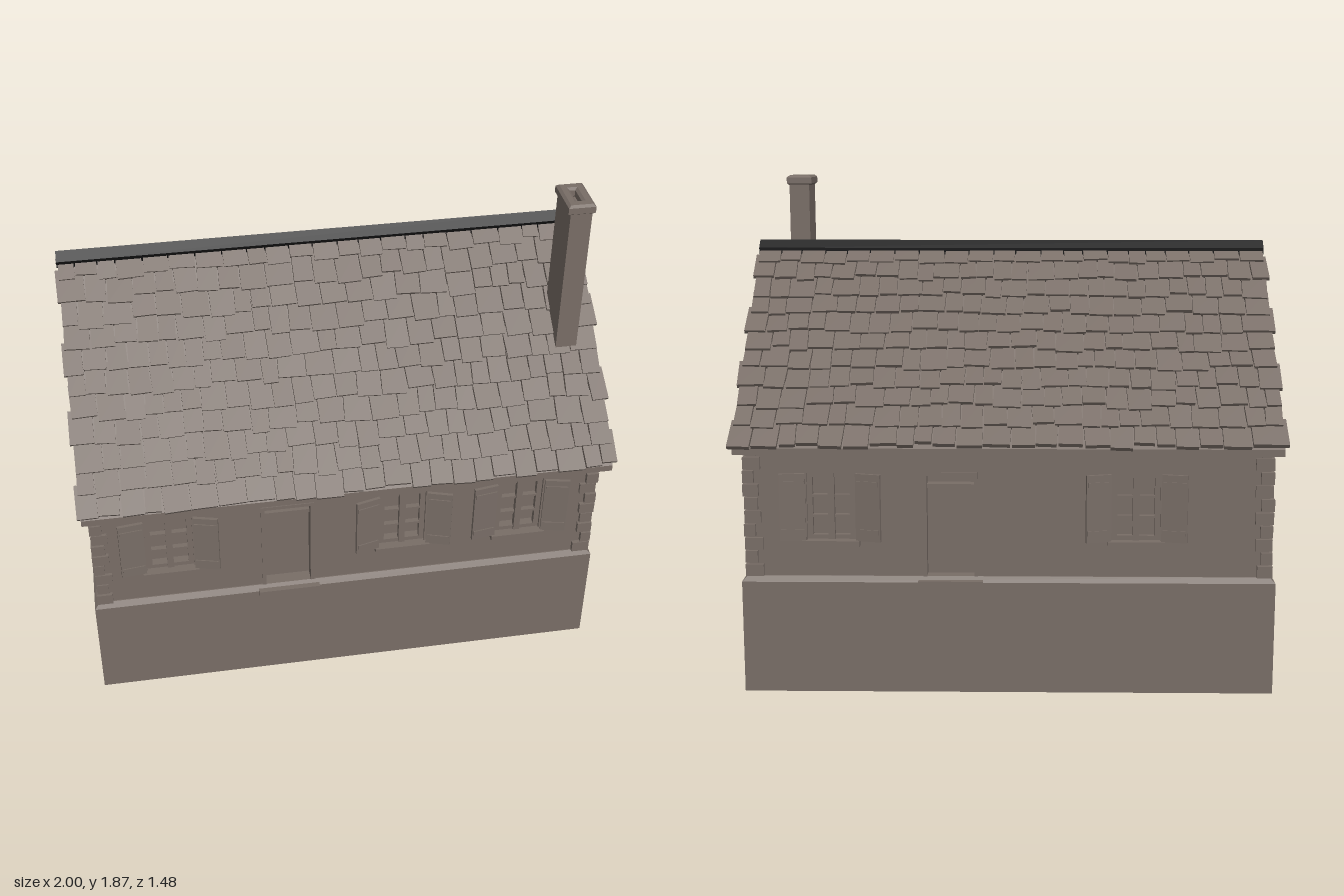
import * as THREE from 'three';
import { mergeGeometries } from 'three/addons/utils/BufferGeometryUtils.js';

const stone = new THREE.MeshStandardMaterial({ color: 0x786d66 });
stone.name = 'grey brown stone';
const black = new THREE.MeshStandardMaterial({ color: 0x0c0c0d });
black.name = 'ridge black';

const SLOPE = 0.92, ANGLE = Math.atan(SLOPE);
const WALL_X = 0.95, WALL_Z = 0.625;

let seed = 7;
const rand = (a, b) => {
  seed = (seed * 16807) % 2147483647;
  return a + (b - a) * seed / 2147483647;
};

function add(parent, name, geometry, x = 0, y = 0, z = 0, material = stone) {
  const mesh = new THREE.Mesh(geometry, material);
  mesh.name = name;
  mesh.position.set(x, y, z);
  parent.add(mesh);
  return mesh;
}

// Box given by its minimum and maximum corners
function block(x0, x1, y0, y1, z0, z1) {
  return new THREE.BoxGeometry(x1 - x0, y1 - y0, z1 - z0)
    .translate((x0 + x1) / 2, (y0 + y1) / 2, (z0 + z1) / 2);
}

function polygon(points) {
  return new THREE.Shape(points.map(([x, y]) => new THREE.Vector2(x, y)));
}

function rectangle(x0, x1, y0, y1) {
  return polygon([[x0, y0], [x1, y0], [x1, y1], [x0, y1]]);
}

function extrude(shape, depth) {
  return new THREE.ExtrudeGeometry(shape, { depth, bevelEnabled: false });
}

// Extrudes a (z, y) section along x from x0 to x1
function alongX(points, x0, x1) {
  return extrude(polygon(points), x1 - x0).rotateY(Math.PI / 2).translate(x0, 0, 0);
}

// Inverted V section for the roof boards and the ridge
function chevron(apex, reach, thick, halfLength) {
  const low = apex - SLOPE * reach;
  return alongX([[0, apex], [-reach, low], [-reach, low - thick], [0, apex - thick],
    [reach, low - thick], [reach, low]], -halfLength, halfLength);
}

// Window frame, bars, sill and a pair of open shutters
function makeWindow(x, angles) {
  const g = new THREE.Group();
  g.name = 'window';
  g.position.x = x;
  const frame = rectangle(-0.088, 0.088, 0.575, 0.825);
  for (let i = 0; i < 2; i++) for (let j = 0; j < 3; j++) {
    const px = -0.068 + i * 0.073, py = 0.592 + j * 0.075;
    frame.holes.push(rectangle(px, px + 0.063, py, py + 0.066));
  }
  add(g, 'windowFrame', extrude(frame, 0.02), 0, 0, 0.595);
  add(g, 'windowMiddleBar', block(-0.012, 0.012, 0.575, 0.825, 0.6, 0.622));
  add(g, 'windowSill', block(-0.105, 0.105, 0.555, 0.576, 0.58, 0.65));
  for (const side of [-1, 1]) {
    const hinge = new THREE.Group();
    hinge.name = side < 0 ? 'rightShutter' : 'leftShutter';
    hinge.position.set(side * 0.092, 0.7, 0.634);
    hinge.rotation.y = -side * angles[side < 0 ? 0 : 1];
    const c = side * 0.047;
    add(hinge, 'shutterBoard', block(c - 0.047, c + 0.047, -0.125, 0.125, -0.006, 0.006));
    for (const y of [-0.09, 0.09]) {
      add(hinge, 'shutterBatten', block(c - 0.042, c + 0.042, y - 0.009, y + 0.009, -0.01, 0.01));
    }
    g.add(hinge);
  }
  return g;
}

// Door with frame, transom and threshold
function makeDoor(x) {
  const g = new THREE.Group();
  g.name = 'door';
  g.position.x = x;
  const frame = rectangle(-0.1, 0.1, 0.425, 0.83);
  frame.holes.push(rectangle(-0.086, 0.086, 0.43, 0.816));
  add(g, 'doorFrame', extrude(frame, 0.05), 0, 0, 0.58);
  add(g, 'doorLeaf', block(-0.088, 0.088, 0.428, 0.77, 0.56, 0.582));
  add(g, 'doorTransom', block(-0.088, 0.088, 0.765, 0.78, 0.56, 0.605));
  add(g, 'doorThreshold', block(-0.118, 0.118, 0.4, 0.428, 0.56, 0.66));
  return g;
}

// Long wall, facing +z, with its openings
function makeFacade(name, doorX, windows) {
  const g = new THREE.Group();
  g.name = name;
  const wall = rectangle(-0.91, 0.91, 0.4, 0.995);
  wall.holes.push(rectangle(doorX - 0.1, doorX + 0.1, 0.425, 0.83));
  for (const [x, angles] of windows) {
    wall.holes.push(rectangle(x - 0.088, x + 0.088, 0.575, 0.825));
    g.add(makeWindow(x, angles));
  }
  add(g, 'longWall', extrude(wall, 0.075), 0, 0, WALL_Z - 0.075);
  g.add(makeDoor(doorX));
  return g;
}

// One slope of overlapping, slightly uneven tiles
function makeTiles() {
  const tiles = [], rows = 11, pitch = 0.0885;
  for (let r = 0; r < rows; r++) {
    const end = r % 3 === 1 ? 0.998 : 0.986;
    let x = -end;
    while (x < end - 0.01) {
      let w = rand(0.06, 0.105);
      if (end - x - w < 0.05) w = end - x;
      const wave = Math.sin(x * 14 + r) * 0.006;
      const s = (r + 1) * pitch + wave + rand(-0.011, 0.011);
      const len = Math.min(0.125, s);
      const tile = new THREE.BoxGeometry(w - 0.005, 0.016, len);
      tile.rotateY(rand(-0.05, 0.05));
      tile.rotateX(-rand(0.08, 0.13));
      tile.translate(x + w / 2, 0.01, s - len / 2);
      tiles.push(tile);
      x += w;
    }
  }
  return mergeGeometries(tiles).rotateX(ANGLE).translate(0, 1.592, 0);
}

export function createModel() {
  const house = new THREE.Group();
  house.name = 'house';

  // Plinth with a sloping ledge on top
  add(house, 'plinth', block(-0.975, 0.975, 0, 0.42, -0.645, 0.645));
  const ledge = block(-0.975, 0.975, 0.42, 0.44, -0.645, 0.645);
  const p = ledge.attributes.position;
  for (let i = 0; i < p.count; i++) {
    if (p.getY(i) > 0.43) p.setXYZ(i, p.getX(i) * 0.98, 0.44, p.getZ(i) * 0.975);
  }
  ledge.computeVertexNormals();
  add(house, 'plinthLedge', ledge);

  // Inner core behind the openings and the two gable walls
  const section = (w) => [[-w, 0.4], [w, 0.4], [w, 1.565 - SLOPE * w], [0, 1.565], [-w, 1.565 - SLOPE * w]];
  add(house, 'houseCore', alongX(section(0.565), -0.91, 0.91));
  for (const [name, x] of [['leftGable', 0.91], ['rightGable', -WALL_X]]) {
    add(house, name, alongX(section(WALL_Z), x, x + 0.04));
  }

  // Front and back walls
  house.add(makeFacade('frontWall', -0.23,
    [[-0.675, [0.12, 0.25]], [0.21, [0.25, 0.3]], [0.665, [0.15, 0.2]]]));
  const back = makeFacade('backWall', -0.21, [[-0.645, [0.12, 0.25]], [0.465, [0.25, 0.2]]]);
  back.rotation.y = Math.PI;
  house.add(back);

  // Corner stones, alternating long and short
  const stones = [];
  for (const sx of [-1, 1]) for (const sz of [-1, 1]) {
    for (let i = 0; i < 11; i++) {
      const y = 0.438 + i * 0.05;
      const lx = (i % 2 ? 0.045 : 0.062) + rand(-0.006, 0.006);
      const lz = (i % 2 ? 0.062 : 0.045) + rand(-0.006, 0.006);
      const out = rand(0, 0.006);
      stones.push(new THREE.BoxGeometry(lx, 0.044, lz)
        .translate(sx * (0.965 - out - lx / 2), y + 0.024, sz * (0.642 - out - lz / 2)));
    }
  }
  add(house, 'cornerStones', mergeGeometries(stones));

  // Roof boards, tiles and ridge
  add(house, 'roofBoards', chevron(1.592, 0.715, 0.025, 0.982));
  add(house, 'frontTiles', makeTiles());
  add(house, 'backTiles', makeTiles()).rotation.y = Math.PI;
  add(house, 'ridge', chevron(1.625, 0.032, 0.025, 0.988), 0, 0, 0, black);

  // Chimney with a hollow cap
  add(house, 'chimneyShaft', block(0.825, 0.905, 1.15, 1.835, 0.23, 0.39));
  const cap = rectangle(0.825, 0.905, -0.385, -0.235);
  cap.holes.push(rectangle(0.845, 0.885, -0.36, -0.26));
  add(house, 'chimneyCap', new THREE.ExtrudeGeometry(cap, {
    depth: 0.024, bevelThickness: 0.008, bevelSize: 0.01, bevelSegments: 1,
  }).rotateX(-Math.PI / 2), 0, 1.838, 0);

  return house;
}
